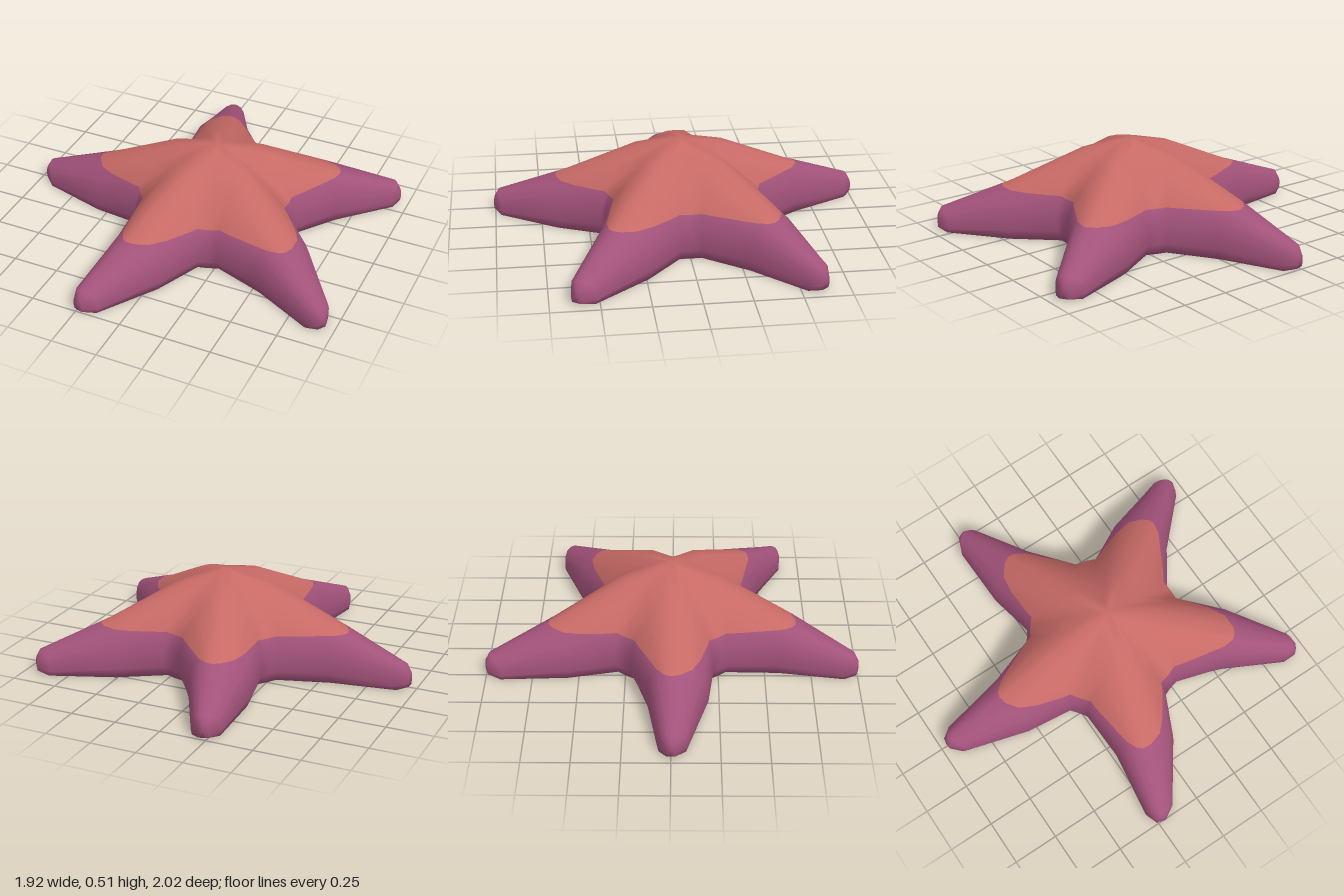
import * as THREE from 'three';
import { mergeVertices } from 'three/addons/utils/BufferGeometryUtils.js';

const CENTER_X = 0.088;
const SPLIT_Y = 0.25; // height where the upper colour begins

// Half sections as [along arm, sideways, height], from bottom edge up to ridge
const valley = [[0.42, 0], [0.445, 0.06], [0.44, 0.17], [0.415, 0.27], [0.22, 0.415], [0.055, 0.508], [0, 0.512]]
  .map(([r, y]) => [r * Math.cos(Math.PI / 5), r * Math.sin(Math.PI / 5), y]);
const root = [[0.37, 0.2, 0], [0.392, 0.222, 0.06], [0.387, 0.217, 0.16], [0.37, 0.195, 0.26],
  [0.315, 0.12, 0.375], [0.26, 0.05, 0.445], [0.24, 0, 0.457]];

// Rounded arm section; bow pushes the ridge further out than the sides
function armSection(u, w, h, bow = 0) {
  return [[0.9, 0], [1, 0.2], [0.97, 0.5], [0.84, 0.75], [0.56, 0.92], [0.25, 0.985], [0, 1]]
    .map(([s, t]) => [u + bow * (1 - s * s), s * w, t * h]);
}
const tip = (w) => [[0.8, 0.012], [1, 0.035], [1, 0.055], [0.85, 0.07], [0.6, 0.08], [0.25, 0.085], [0, 0.085]]
  .map(([s, y]) => [1.05, s * w, y]);

// Closed ring: wide side, ridge, narrow side, bottom centre
function ring(wide, narrow, bottomU, bottomY = 0) {
  return [
    ...wide,
    ...narrow.slice(0, -1).reverse().map(([u, w, y]) => [u, -w, y]),
    [bottomU, 0, bottomY],
  ];
}

function bodyGeometry() {
  const rings = [
    ring(valley, valley, 0),
    ring(root, root, 0.37),
    ring(armSection(0.645, 0.192, 0.27), armSection(0.645, 0.13, 0.27), 0.645),
    ring(armSection(0.985, 0.085, 0.123, 0.045), armSection(0.985, 0.07, 0.123, 0.045), 1.0),
    ring(tip(0.03), tip(0.03), 1.05, 0.012),
  ];
  const n = rings[0].length;
  const positions = [];
  for (let arm = 0; arm < 5; arm++) {
    const angle = Math.PI + arm * Math.PI * 0.4;
    const c = Math.cos(angle), s = Math.sin(angle);
    const put = (...points) => points.forEach(([u, w, y]) =>
      positions.push(CENTER_X + u * c - w * s, y, -(u * s + w * c)));
    for (let j = 0; j < n; j++) {
      const k = (j + 1) % n;
      for (let i = 0; i < rings.length - 1; i++) {
        const a = rings[i], b = rings[i + 1];
        put(a[j], a[k], b[j], a[k], b[k], b[j]);
      }
      const end = rings[rings.length - 1];
      put([1.056, 0, 0.05], end[j], end[k]);
    }
  }
  const geometry = new THREE.BufferGeometry();
  geometry.setAttribute('position', new THREE.Float32BufferAttribute(positions, 3));
  const merged = mergeVertices(geometry, 1e-4);
  merged.computeVertexNormals();
  return merged;
}

// Keeps the part above (side 1) or below (side -1) the colour line
function clip(source, side) {
  const flat = source.toNonIndexed();
  const p = flat.attributes.position, q = flat.attributes.normal;
  const positions = [], normals = [];
  const emit = (v) => { positions.push(...v.p.toArray()); normals.push(...v.n.toArray()); };
  for (let i = 0; i < p.count; i += 3) {
    const corners = [0, 1, 2].map((k) => ({
      p: new THREE.Vector3().fromBufferAttribute(p, i + k),
      n: new THREE.Vector3().fromBufferAttribute(q, i + k),
    }));
    const polygon = [];
    corners.forEach((a, k) => {
      const b = corners[(k + 1) % 3];
      const da = (a.p.y - SPLIT_Y) * side, db = (b.p.y - SPLIT_Y) * side;
      if (da >= 0) polygon.push(a);
      if (da * db < 0) {
        const t = da / (da - db);
        polygon.push({ p: a.p.clone().lerp(b.p, t), n: a.n.clone().lerp(b.n, t).normalize() });
      }
    });
    for (let k = 1; k < polygon.length - 1; k++) [polygon[0], polygon[k], polygon[k + 1]].forEach(emit);
  }
  const geometry = new THREE.BufferGeometry();
  geometry.setAttribute('position', new THREE.Float32BufferAttribute(positions, 3));
  geometry.setAttribute('normal', new THREE.Float32BufferAttribute(normals, 3));
  return geometry;
}

export function createModel() {
  const group = new THREE.Group();
  group.name = 'starfish';
  const coral = new THREE.MeshStandardMaterial({ color: 0xc86a66 });
  coral.name = 'coral';
  const plum = new THREE.MeshStandardMaterial({ color: 0xa2527a });
  plum.name = 'plum';

  const body = bodyGeometry();
  const upper = new THREE.Mesh(clip(body, 1), coral);
  upper.name = 'upperBody';
  const lower = new THREE.Mesh(clip(body, -1), plum);
  lower.name = 'lowerBodyAndArmTips';
  group.add(upper, lower);
  return group;
}
